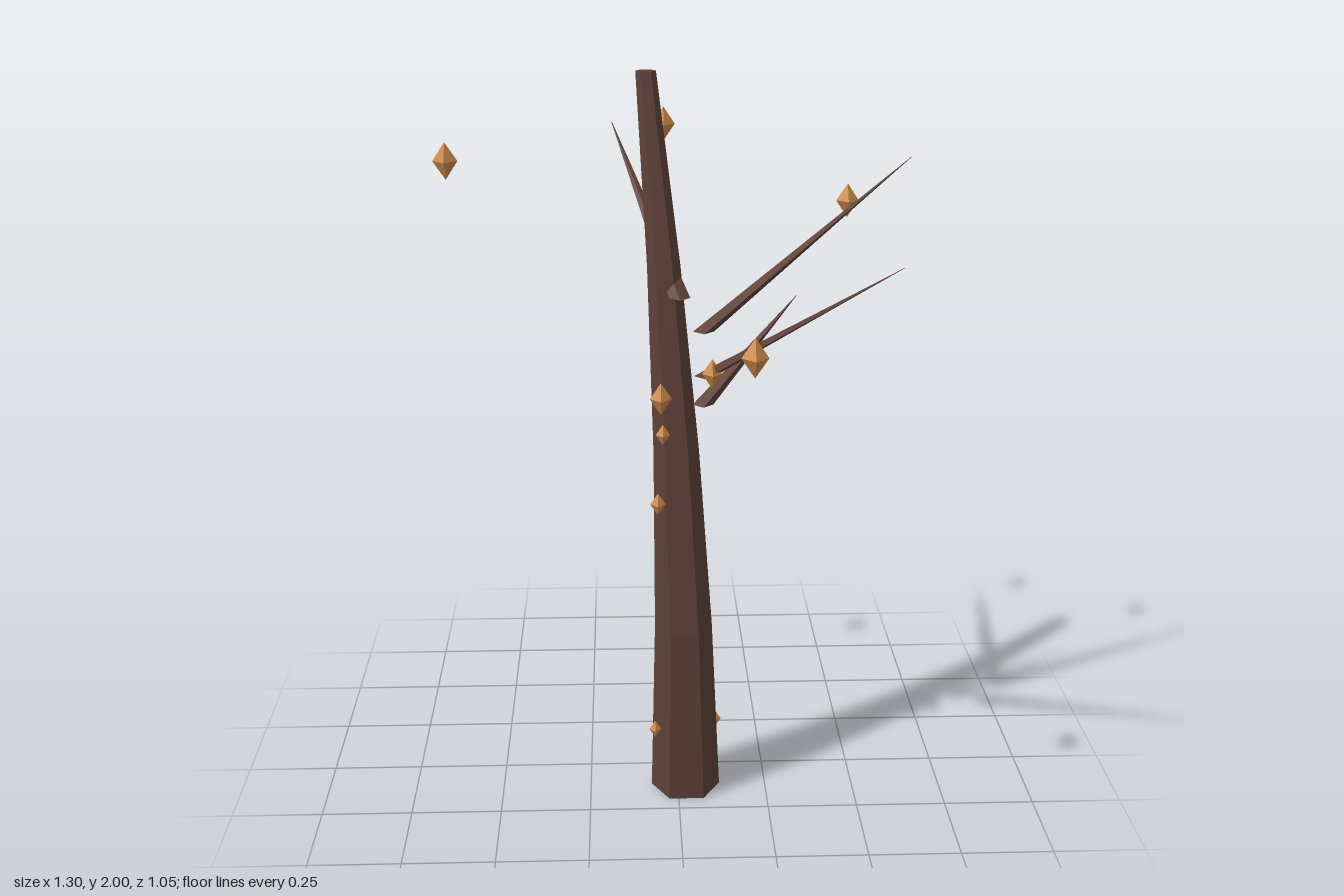
import * as THREE from 'three';

const bark = new THREE.MeshStandardMaterial({ color: 0x5d4037, flatShading: true });
const amber = new THREE.MeshStandardMaterial({ color: 0xcd8b4a, flatShading: true });

// Tapered prism whose level rings follow a path(t), t = 0 at the foot and 1 at the tip
function limb(name, r0, r1, height, sides, steps, path) {
  const geo = new THREE.CylinderGeometry(r1, r0, height, sides, steps, false, Math.PI / 2);
  const p = geo.attributes.position;
  for (let i = 0; i < p.count; i++) {
    const t = p.getY(i) / height + 0.5;
    const c = path(t);
    p.setXYZ(i, p.getX(i) + c.x, c.y, p.getZ(i) + c.z);
  }
  geo.computeVertexNormals();
  const mesh = new THREE.Mesh(geo, bark);
  mesh.name = name;
  return mesh;
}

export function createModel() {
  const tree = new THREE.Group();
  tree.name = 'bareTree';

  // Six-sided trunk, bending more and more towards the back
  tree.add(limb('trunk', 0.097, 0.027, 2, 6, 4, (t) =>
    new THREE.Vector3(0.022 - 0.1 * t * t, 2 * t, 0.115 - 0.207 * t * t)));

  // Straight spiky branches: foot and tip
  const branches = [
    [[0.068, 1.14, 0.083], [0.335, 1.38, -0.14]],
    [[0.068, 1.24, 0.147], [0.525, 1.61, 0.49]],
    [[0.068, 1.345, 0.09], [0.645, 1.755, -0.182]],
    [[0.006, 1.43, 0.066], [-0.17, 1.805, -0.5]],
  ];
  branches.forEach(([foot, tip], i) => {
    const a = new THREE.Vector3(...foot);
    const b = new THREE.Vector3(...tip);
    tree.add(limb(`branch${i + 1}`, 0.028, 0.001, b.y - a.y, 4, 1, (t) => a.clone().lerp(b, t)));
  });

  // Crystal-shaped leaves: x, y, z, half width
  const leaves = [
    [-0.62, 1.75, -0.188, 0.034],
    [-0.022, 1.8, -0.493, 0.033],
    [0.496, 1.605, -0.342, 0.032],
    [0.173, 1.39, 0.49, 0.034],
    [0.087, 1.255, 0.178, 0.027],
    [-0.047, 1.183, 0.164, 0.029],
    [-0.042, 1.085, 0.17, 0.019],
    [-0.055, 0.875, 0.137, 0.021],
    [-0.065, 0.2, 0.155, 0.017],
    [0.105, 0.192, 0.084, 0.019],
  ];
  const crystal = new THREE.OctahedronGeometry(1);
  leaves.forEach(([x, y, z, r], i) => {
    const leaf = new THREE.Mesh(crystal, amber);
    leaf.name = `leaf${i + 1}`;
    leaf.position.set(x, y, z);
    leaf.scale.set(r, r * 1.5, r);
    tree.add(leaf);
  });

  return tree;
}
